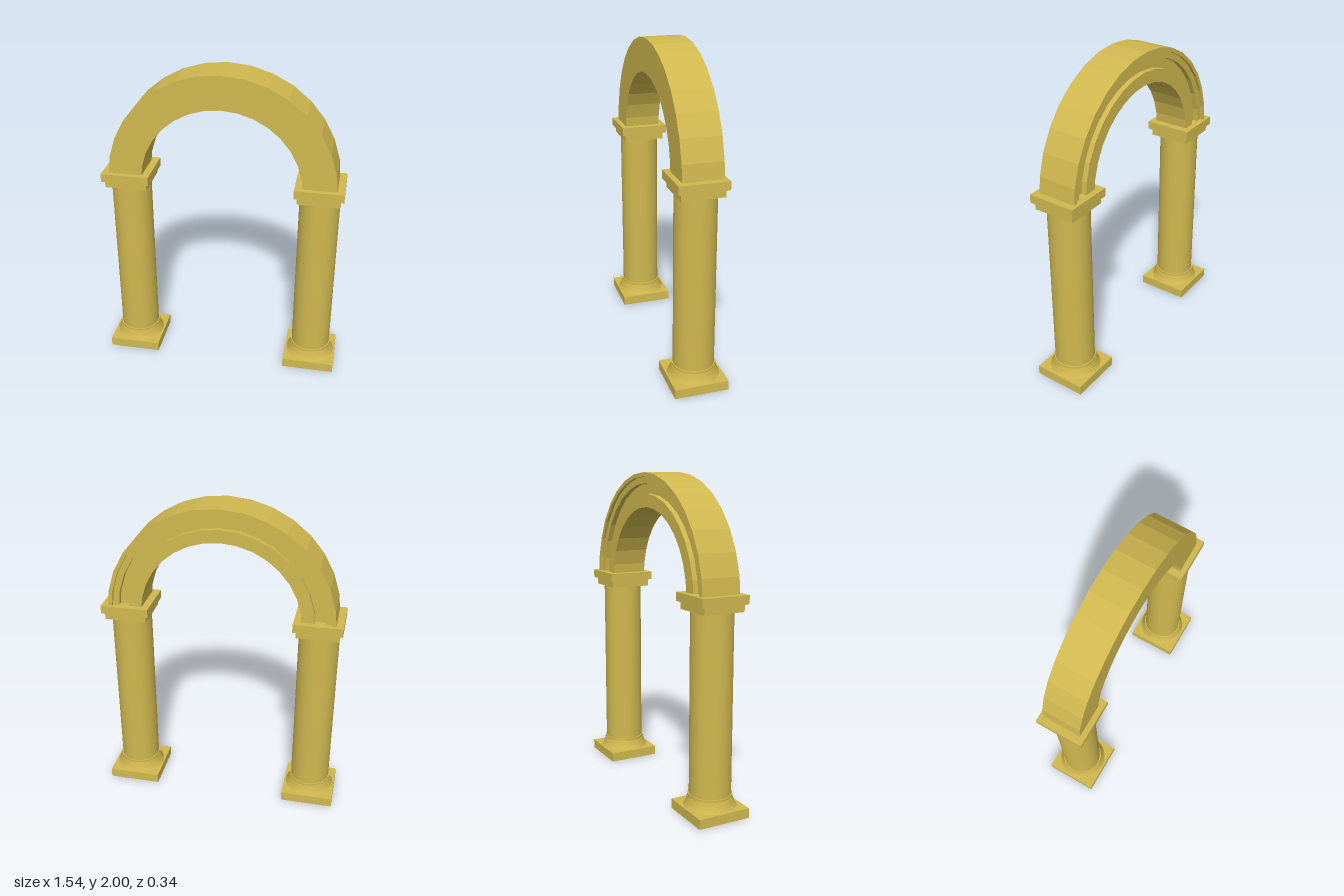
import * as THREE from 'three';

const COLOR = 0xd0b84f;
const flat = new THREE.MeshStandardMaterial({ color: COLOR, flatShading: true });
const smooth = new THREE.MeshStandardMaterial({ color: COLOR });

function add(parent, name, geometry, material, y = 0) {
  const mesh = new THREE.Mesh(geometry, material);
  mesh.name = name;
  mesh.position.y = y;
  parent.add(mesh);
  return mesh;
}

// Square slab between two heights
function slab(parent, name, width, y0, y1) {
  add(parent, name, new THREE.BoxGeometry(width, y1 - y0, width), flat, (y0 + y1) / 2);
}

const profile = (pairs) => pairs.map(([r, y]) => new THREE.Vector2(r, y));

function createColumn(name) {
  const column = new THREE.Group();
  column.name = name;

  slab(column, 'plinth', 0.336, 0, 0.06);

  // Flared foot, concave towards the shaft
  add(column, 'flaredFoot', new THREE.LatheGeometry(profile([
    [0.16, 0.06], [0.15, 0.075], [0.142, 0.095], [0.135, 0.122],
  ]), 32), smooth);

  // Thin ring above the foot
  add(column, 'footRing', new THREE.CylinderGeometry(0.133, 0.133, 0.014, 32), smooth, 0.128);

  add(column, 'shaft', new THREE.CylinderGeometry(0.126, 0.126, 1.12, 32), smooth, 0.68);

  slab(column, 'capitalNeck', 0.264, 1.23, 1.275);
  slab(column, 'capitalSlab', 0.302, 1.275, 1.328);
  return column;
}

function createArch(parent) {
  // Closed section (radius, depth towards the back), with stepped moulding and a channel behind
  const section = profile([
    [0.5, -0.117], [0.71, -0.117], [0.71, 0.13], [0.685, 0.13],
    [0.685, 0.112], [0.645, 0.112], [0.645, 0.08], [0.58, 0.08],
    [0.58, 0.112], [0.5, 0.112], [0.5, -0.117],
  ]);
  const geometry = new THREE.LatheGeometry(section, 16, -Math.PI / 2, Math.PI);
  geometry.rotateX(-Math.PI / 2);
  add(parent, 'arch', geometry, flat, 1.29);
}

export function createModel() {
  const model = new THREE.Group();
  model.name = 'archway';
  for (const [name, side] of [['leftColumn', 1], ['rightColumn', -1]]) {
    const column = createColumn(name);
    column.position.x = side * 0.6;
    model.add(column);
  }
  createArch(model);
  return model;
}
